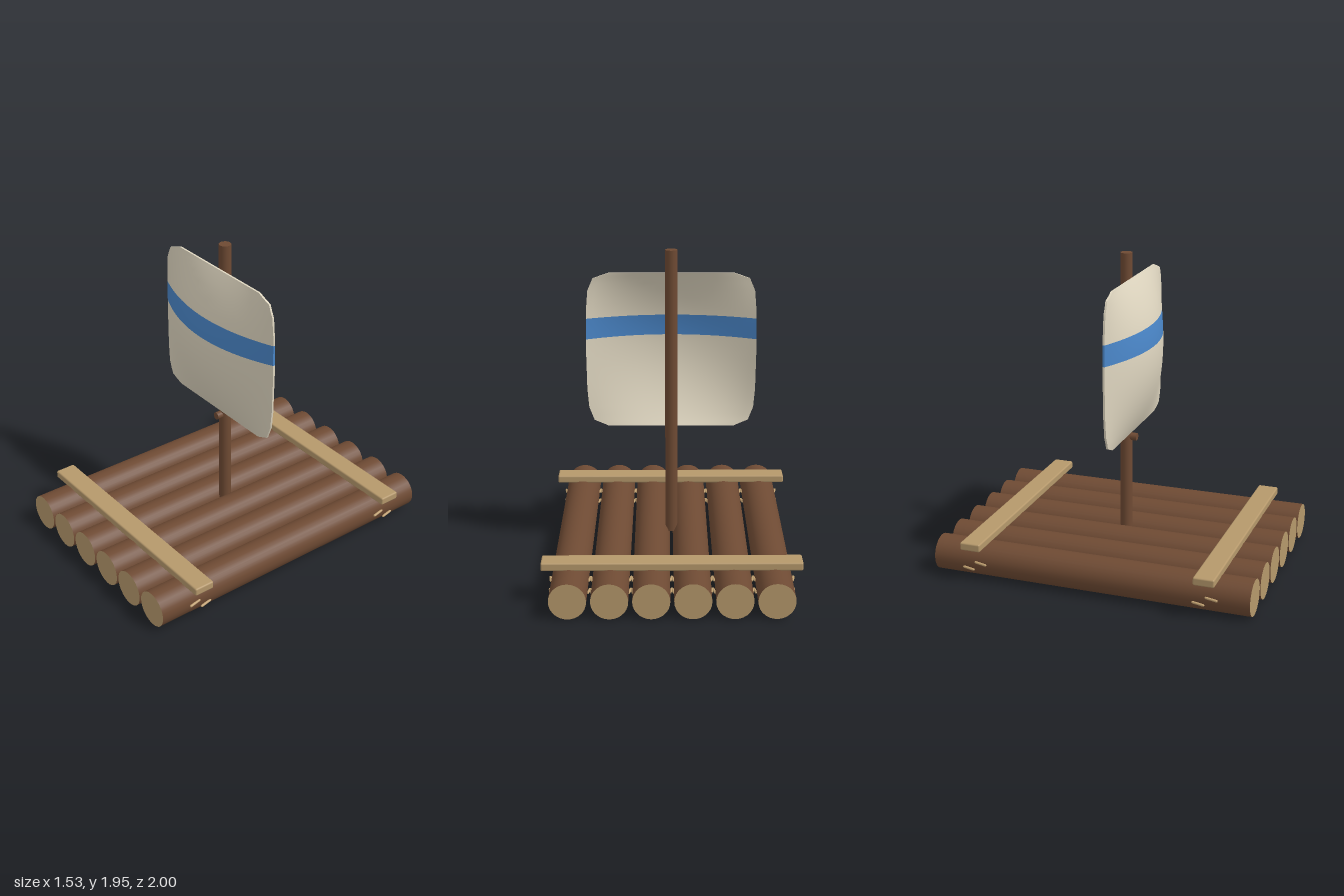
import * as THREE from 'three';
import { toCreasedNormals } from 'three/addons/utils/BufferGeometryUtils.js';
import { RoundedBoxGeometry } from 'three/addons/geometries/RoundedBoxGeometry.js';

function material(name, color) {
  const m = new THREE.MeshStandardMaterial({ color });
  m.name = name;
  return m;
}

// Outline of the sail's right half: [y, half width], bottom to top
const OUTLINE = [
  [0.83, 0.39], [0.867, 0.478], [0.95, 0.51], [1.07, 0.52], [1.32, 0.524],
  [1.57, 0.52], [1.69, 0.51], [1.765, 0.478], [1.8, 0.38],
];
const STRIPE = [1.385, 1.515];

function halfWidth(y) {
  for (let i = 1; i < OUTLINE.length; i++) {
    const [y0, w0] = OUTLINE[i - 1], [y1, w1] = OUTLINE[i];
    if (y <= y1) return w0 + (w1 - w0) * (y - y0) / (y1 - y0);
  }
  return OUTLINE[OUTLINE.length - 1][1];
}

// Billowing closed shell: each row is a loop along the front and back along the rear
function sailGeometry() {
  const ys = [0.83, 0.848, 0.867, 0.9, 0.95, 1.01, 1.07, 1.13, 1.19, 1.25, 1.32, STRIPE[0],
    1.45, STRIPE[1], 1.57, 1.63, 1.69, 1.73, 1.765, 1.783, 1.8];
  const n = 24, thick = 0.012, ring = 2 * (n + 1);
  const bulge = (x, y) => 0.132 * (1 - (x / 0.525) ** 2) * (1 - ((y - 1.315) / 0.485) ** 2);
  const positions = [], cloth = [], stripe = [];
  for (const y of ys) {
    const w = halfWidth(y);
    for (let k = 0; k < ring; k++) {
      const front = k <= n;
      const x = w * (2 * (front ? k : ring - 1 - k) / n - 1);
      positions.push(x, y, 0.038 + bulge(x, y) + (front ? thick : 0));
    }
  }
  for (let r = 0; r < ys.length - 1; r++) {
    const target = ys[r] >= STRIPE[0] && ys[r] < STRIPE[1] ? stripe : cloth;
    for (let k = 0; k < ring; k++) {
      const a = r * ring + k, b = r * ring + (k + 1) % ring;
      target.push(a, b, b + ring, a, b + ring, a + ring);
    }
  }
  // Top and bottom hems
  const top = (ys.length - 1) * ring;
  for (let k = 0; k < n; k++) {
    const back = ring - 1 - k;
    cloth.push(k, back, back - 1, k, back - 1, k + 1);
    cloth.push(top + k, top + k + 1, top + back - 1, top + k, top + back - 1, top + back);
  }
  const g = new THREE.BufferGeometry();
  g.setAttribute('position', new THREE.Float32BufferAttribute(positions, 3));
  g.setIndex([...cloth, ...stripe]);
  g.addGroup(0, cloth.length, 0);
  g.addGroup(cloth.length, stripe.length, 1);
  return toCreasedNormals(g, 0.7);
}

export function createModel() {
  const model = new THREE.Group();
  model.name = 'raft';
  const bark = material('brown bark', 0x6e4a33);
  const cutWood = material('pale wood', 0xb5986b);
  const rope = material('rope', 0xc0a070);
  const canvas = material('cream canvas', 0xdfd6c0);
  const blue = material('blue stripe', 0x4a86c8);

  function add(name, geometry, mat, x, y, z, parent = model) {
    const mesh = new THREE.Mesh(geometry, mat);
    mesh.name = name;
    mesh.position.set(x, y, z);
    parent.add(mesh);
    return mesh;
  }

  // Deck logs with pale cut ends and short rope lashings on both flanks
  const logGeometry = new THREE.CylinderGeometry(0.112, 0.109, 2, 28);
  logGeometry.rotateX(Math.PI / 2);
  const lashing = new THREE.CapsuleGeometry(0.008, 0.066, 3, 8);
  lashing.rotateX(Math.PI / 2);
  for (let i = 0; i < 6; i++) {
    const log = new THREE.Group();
    log.name = 'log' + (i + 1);
    log.position.set(-0.6 + i * 0.24, 0.112, 0);
    model.add(log);
    add('logTrunk', logGeometry, [bark, cutWood, cutWood], 0, 0, 0, log);
    for (const side of [-1, 1]) {
      for (const z of [0.73, -0.73]) {
        const upper = add('upperLashing', lashing, rope, side * 0.115, 0.004, z + 0.04, log);
        const lower = add('lowerLashing', lashing, rope, side * 0.113, -0.037, z - 0.04, log);
        upper.rotation.set(0.1, side * 0.12, 0);
        lower.rotation.set(0.1, side * 0.12, 0);
      }
    }
  }

  // Cross planks
  const plank = new RoundedBoxGeometry(1.53, 0.05, 0.13, 2, 0.01);
  add('frontPlank', plank, cutWood, 0, 0.237, 0.735);
  add('backPlank', plank, cutWood, 0, 0.237, -0.735);

  // Mast and the peg below the sail
  add('mast', new THREE.CylinderGeometry(0.037, 0.038, 1.8, 20), bark, 0, 1.05, 0);
  const peg = new THREE.CylinderGeometry(0.024, 0.024, 0.05, 16);
  peg.rotateX(Math.PI / 2);
  add('mastPeg', peg, bark, 0, 0.787, 0.045);

  // Sail with its painted band
  add('sail', sailGeometry(), [canvas, blue], 0, 0, 0);

  return model;
}
